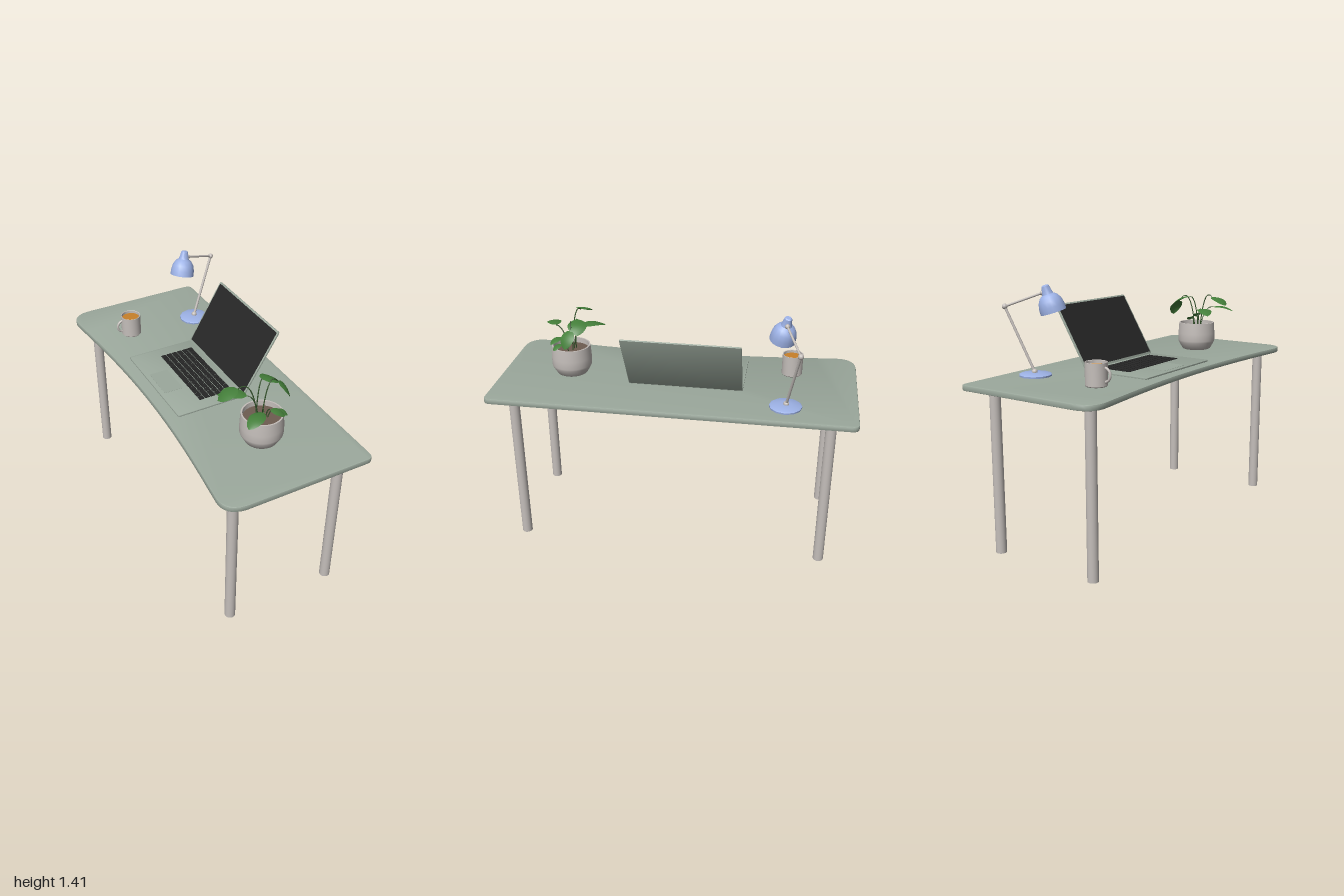
import * as THREE from 'three';
import { toCreasedNormals } from 'three/addons/utils/BufferGeometryUtils.js';

const V = (x, y, z) => new THREE.Vector3(x, y, z);
const material = (name, color, side = THREE.FrontSide) => {
  const m = new THREE.MeshStandardMaterial({ color, side });
  m.name = name;
  return m;
};

export function createModel() {
  const sage = material('sage', 0x9ba89c);
  const stone = material('stone', 0xc4beba, THREE.DoubleSide);
  const blue = material('blue', 0x9db2e6, THREE.DoubleSide);
  const black = material('black', 0x262626);
  const green = material('leaf green', 0x447f3a, THREE.DoubleSide);
  const stemGreen = material('stem green', 0x35552c);
  const soilBrown = material('soil brown', 0x6e5c50);
  const tea = material('tea', 0xc8802a);

  const model = new THREE.Group();
  const group = (name, parent = model) => {
    const g = new THREE.Group();
    g.name = name;
    parent.add(g);
    return g;
  };
  const add = (parent, name, geometry, mat, x = 0, y = 0, z = 0) => {
    const m = new THREE.Mesh(geometry, mat);
    m.name = name;
    m.position.set(x, y, z);
    parent.add(m);
    return m;
  };
  const lathe = (pts, sides) => toCreasedNormals(
    new THREE.LatheGeometry(pts.map(([r, y]) => new THREE.Vector2(r, y)), sides), 0.6);
  const disc = (r, sides = 32) => new THREE.CircleGeometry(r, sides).rotateX(-Math.PI / 2);
  // flat plate lying in the xz plane, bottom at y = 0
  const plate = (shape, height, bevel = 0) => toCreasedNormals(new THREE.ExtrudeGeometry(shape, {
    depth: height - 2 * bevel, bevelEnabled: bevel > 0, bevelSize: bevel, bevelOffset: -bevel,
    bevelThickness: bevel, bevelSegments: 2, curveSegments: 10,
  }).translate(0, 0, bevel).rotateX(-Math.PI / 2), 0.6);
  const roundedRect = (w, d, r) => {
    const s = new THREE.Shape(), a = w / 2 - r, b = d / 2 - r;
    s.absarc(a, b, r, 0, Math.PI / 2);
    s.absarc(-a, b, r, Math.PI / 2, Math.PI);
    s.absarc(-a, -b, r, Math.PI, Math.PI * 1.5);
    s.absarc(a, -b, r, Math.PI * 1.5, Math.PI * 2);
    return s;
  };
  // cylinder between two points
  const rod = (parent, name, a, b, r, mat) => {
    const d = b.clone().sub(a), c = a.clone().lerp(b, 0.5);
    const m = add(parent, name, new THREE.CylinderGeometry(r, r, d.length(), 12), mat, c.x, c.y, c.z);
    m.quaternion.setFromUnitVectors(V(0, 1, 0), d.normalize());
    return m;
  };

  // desk: concave edge on the sitter's side
  const desk = group('desk');
  const top = new THREE.Shape();
  top.moveTo(-0.3, -1);
  top.lineTo(0.375, -1);
  top.quadraticCurveTo(0.415, -1, 0.415, -0.96);
  top.lineTo(0.415, 0.96);
  top.quadraticCurveTo(0.415, 1, 0.375, 1);
  top.lineTo(-0.3, 1);
  top.bezierCurveTo(-0.38, 1, -0.428, 0.96, -0.418, 0.88);
  top.bezierCurveTo(-0.4, 0.7, -0.36, 0.4, -0.36, 0);
  top.bezierCurveTo(-0.36, -0.4, -0.4, -0.7, -0.418, -0.88);
  top.bezierCurveTo(-0.428, -0.96, -0.38, -1, -0.3, -1);
  add(desk, 'tabletop', plate(top, 0.03, 0.005), sage, 0, 0.895, 0);
  for (const x of [-0.309, 0.309]) for (const z of [-0.862, 0.862])
    add(desk, 'leg', new THREE.CylinderGeometry(0.029, 0.029, 0.9, 24), stone, x, 0.45, z);

  // laptop
  const laptop = group('laptop');
  laptop.position.set(0, 0.925, -0.06);
  add(laptop, 'laptopBase', plate(roundedRect(0.4, 0.636, 0.012), 0.009, 0.002), sage, -0.097);
  add(laptop, 'trackpad', plate(roundedRect(0.11, 0.2, 0.006), 0.001), sage, -0.215, 0.009);
  const keyRows = [
    [1, 1, 1, 1.25, 5, 1.25, 1, 1, 1, 1],
    [2.2, 1, 1, 1, 1, 1, 1, 1, 1, 1, 1, 2.3],
    [1.8, 1, 1, 1, 1, 1, 1, 1, 1, 1, 1, 1, 1.7],
    [1.5, 1, 1, 1, 1, 1, 1, 1, 1, 1, 1, 1, 1, 1],
    [1, 1, 1, 1, 1, 1, 1, 1, 1, 1, 1, 1, 1, 1.5],
    [1, 1, 1, 1, 1, 1, 1, 1, 1, 1, 1, 1, 1, 1],
  ];
  const keyboard = group('keyboard', laptop);
  keyRows.forEach((row, i) => {
    const unit = 0.488 / row.reduce((a, b) => a + b, 0);
    let z = -0.241;
    for (const w of row) {
      add(keyboard, 'key', new THREE.BoxGeometry(0.029, 0.004, w * unit - 0.005), black,
        -0.117 + i * 0.0338, 0.0105, z + w * unit / 2);
      z += w * unit;
    }
  });
  const lid = group('lid', laptop);
  lid.position.set(0.098, 0.007, 0);
  lid.rotation.z = -0.54;
  const panel = plate(roundedRect(0.4, 0.636, 0.01), 0.009, 0.002).rotateZ(Math.PI / 2);
  add(lid, 'lidPanel', panel, sage, 0.007, 0.2, 0);
  add(lid, 'screen', new THREE.BoxGeometry(0.001, 0.376, 0.616), black, -0.0025, 0.202, 0);

  // mug with drink
  const mug = group('mug');
  mug.position.set(-0.17, 0.925, -0.635);
  add(mug, 'mugBody', lathe([[0, 0], [0.054, 0], [0.058, 0.005], [0.058, 0.122], [0.056, 0.123],
    [0.053, 0.121], [0.053, 0.01], [0, 0.01]], 32), stone);
  add(mug, 'drink', disc(0.0535), tea, 0, 0.106, 0);
  const handle = add(mug, 'mugHandle', new THREE.TorusGeometry(0.036, 0.007, 10, 20, Math.PI), stone, -0.05, 0.062, 0);
  handle.rotation.z = Math.PI / 2;

  // desk lamp
  const lamp = group('lamp');
  add(lamp, 'lampBase', lathe([[0, 0], [0.087, 0], [0.088, 0.009], [0.08, 0.014], [0.03, 0.018], [0, 0.019]], 12),
    blue, 0.249, 0.925, -0.617);
  const foot = V(0.252, 0.947, -0.62), elbow = V(0.397, 1.287, -0.676), wrist = V(0.203, 1.362, -0.598);
  rod(lamp, 'lowerArm', foot, elbow, 0.0075, stone);
  rod(lamp, 'upperArm', elbow, wrist, 0.006, stone);
  for (const [p, r] of [[foot, 0.016], [elbow, 0.015], [wrist, 0.013]])
    add(lamp, 'joint', new THREE.SphereGeometry(r, 14, 10), stone, p.x, p.y, p.z);
  const shade = add(lamp, 'lampShade', lathe([[0.069, 0], [0.068, 0.03], [0.061, 0.06], [0.047, 0.083], [0.03, 0.095],
    [0.025, 0.112], [0.02, 0.138], [0.014, 0.143], [0, 0.143]], 16), blue, 0.15, 1.266, -0.575);
  shade.quaternion.setFromUnitVectors(V(0, 1, 0), V(0.033, 0.135, -0.025).normalize());

  // plant pot
  const plant = group('plant');
  const pot = group('pot', plant);
  pot.position.set(-0.005, 0.925, 0.611);
  add(pot, 'potBody', lathe([[0, 0], [0.08, 0], [0.087, 0.004], [0.11, 0.045], [0.113, 0.056], [0.113, 0.1],
    [0.108, 0.166], [0.1, 0.166], [0.1, 0.12], [0, 0.12]], 40), stone);
  add(pot, 'soil', disc(0.102), soilBrown, 0, 0.136, 0);

  // leaf: a grid narrowed to an oval, folded at the midrib and arched
  const leaf = (base, tip, width) => {
    const length = base.distanceTo(tip);
    const g = new THREE.PlaneGeometry(2, 1, 6, 10), p = g.attributes.position;
    for (let i = 0; i < p.count; i++) {
      const t = 0.5 - p.getY(i), s = p.getX(i);
      const w = width / 2 * Math.pow(Math.sin(Math.PI * Math.pow(t, 0.9)), 0.65) || 0;
      p.setXYZ(i, s * w, Math.sin(Math.PI * t) * length * 0.12 - s * s * w * 0.15, t * length);
    }
    g.computeVertexNormals();
    const dir = tip.clone().sub(base).normalize();
    const side = V(0, 1, 0).cross(dir).normalize();
    const m = add(plant, 'leaf', g, green, base.x, base.y, base.z);
    m.quaternion.setFromRotationMatrix(new THREE.Matrix4().makeBasis(side, dir.clone().cross(side), dir));
  };
  // base, tip, width, stem root, stem arch height
  const leaves = [
    [V(-0.065, 1.18, 0.56), V(-0.175, 1.155, 0.45), 0.085, V(-0.02, 1.05, 0.6), 1.19],
    [V(-0.13, 1.258, 0.58), V(-0.234, 1.212, 0.565), 0.095, V(-0.03, 1.05, 0.61), 1.32],
    [V(-0.062, 1.18, 0.71), V(-0.178, 1.155, 0.768), 0.08, V(-0.02, 1.05, 0.63), 1.19],
    [V(0.015, 1.255, 0.56), V(0.124, 1.2, 0.535), 0.105, V(-0.03, 1.05, 0.59), 1.26],
    [V(0.1, 1.222, 0.575), V(0.162, 1.13, 0.6), 0.085, V(0.0, 1.05, 0.6), 1.34],
    [V(0.008, 1.138, 0.66), V(0.064, 1.11, 0.71), 0.055, V(0.0, 1.05, 0.63), 1.14],
    [V(0.052, 1.115, 0.65), V(0.097, 1.088, 0.685), 0.045, V(0.02, 1.05, 0.62), 1.13],
  ];
  for (const [base, tip, width, root, arch] of leaves) {
    leaf(base, tip, width);
    const bend = root.clone().lerp(base, 0.3).setY(arch);
    add(plant, 'stem', new THREE.TubeGeometry(new THREE.QuadraticBezierCurve3(root, bend, base), 14, 0.003, 6), stemGreen);
  }
  return model;
}
